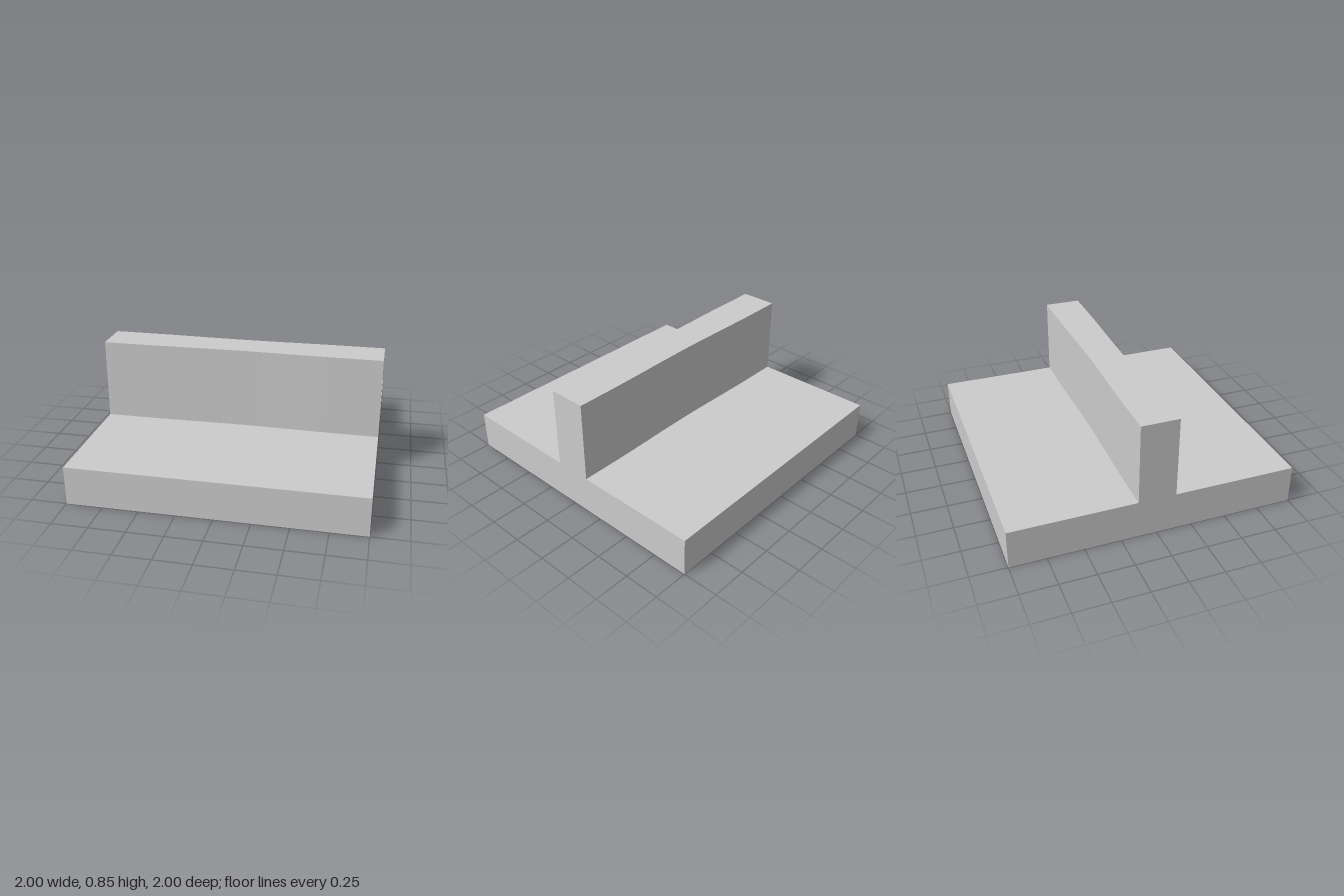
import * as THREE from 'three';

const BASE_HEIGHT = 0.272;
const TOTAL_HEIGHT = 0.845;
const WALL_HALF = 0.132; // half thickness at the wall's ends
const WAIST_DEPTH = 0.011; // how far each side dips in at the middle
const WAIST_REACH = 0.75; // the wall is straight beyond this |x|

export function createModel() {
  const group = new THREE.Group();
  group.name = 'wallOnBase';
  const material = new THREE.MeshStandardMaterial({ color: 0xcccccc });

  // Square base slab
  const base = new THREE.Mesh(new THREE.BoxGeometry(2, BASE_HEIGHT, 2), material);
  base.name = 'base';
  base.position.y = BASE_HEIGHT / 2;
  group.add(base);

  // Upright wall, slightly waisted along its length
  const wallHeight = TOTAL_HEIGHT - BASE_HEIGHT;
  const geometry = new THREE.BoxGeometry(2, wallHeight, WALL_HALF * 2, 40, 1, 1);
  const pos = geometry.attributes.position;
  for (let i = 0; i < pos.count; i++) {
    const t = Math.min(Math.abs(pos.getX(i)) / WAIST_REACH, 1);
    const dip = WAIST_DEPTH * 0.5 * (1 + Math.cos(Math.PI * t));
    pos.setZ(i, Math.sign(pos.getZ(i)) * (WALL_HALF - dip));
  }
  geometry.computeVertexNormals();
  const wall = new THREE.Mesh(geometry, material);
  wall.name = 'wall';
  wall.position.y = BASE_HEIGHT + wallHeight / 2;
  group.add(wall);

  return group;
}
